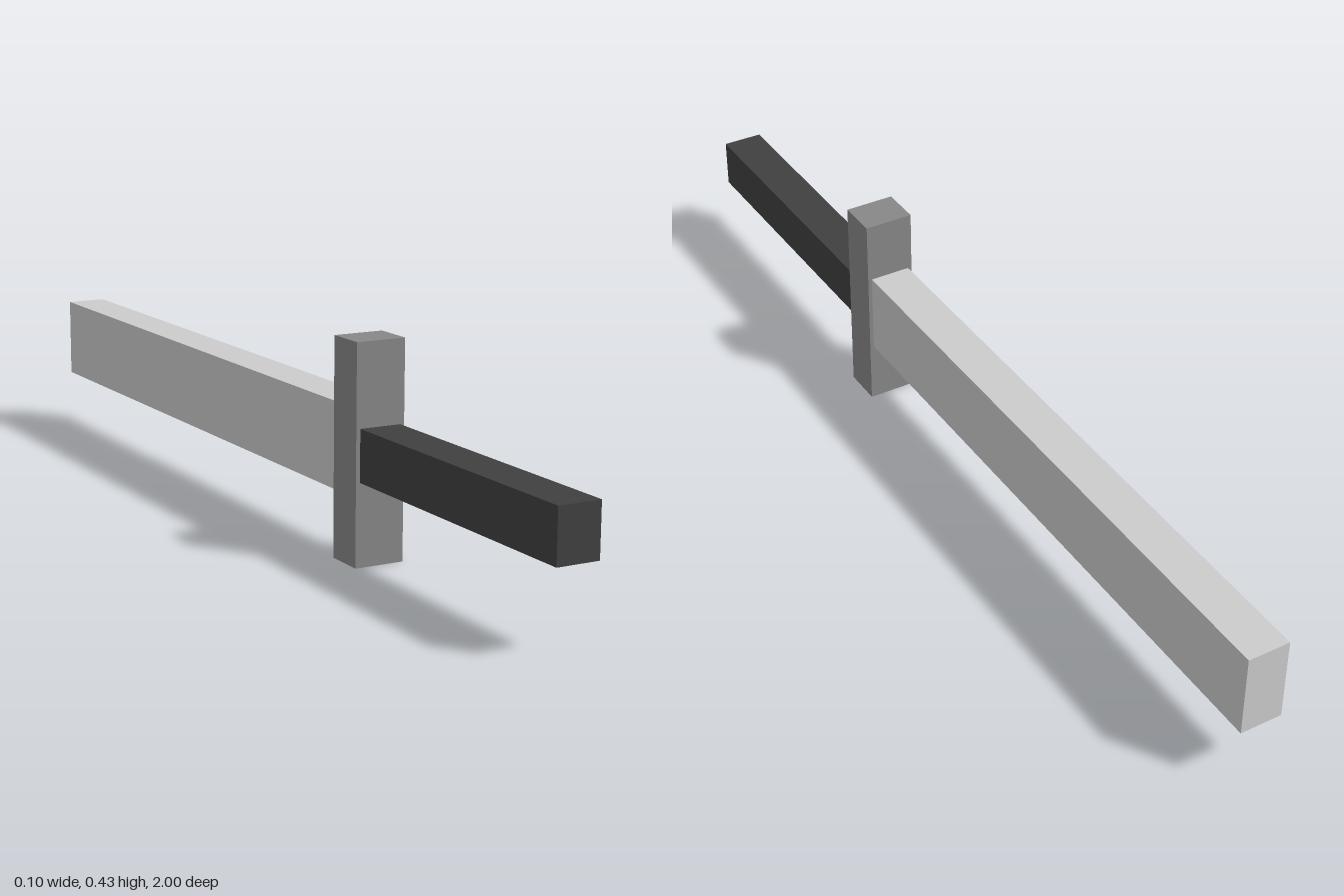
import * as THREE from 'three';

// Box spanning y0..y1 and z0..z1, centred on x
function addBlock(group, name, color, width, [y0, y1], [z0, z1]) {
  const mesh = new THREE.Mesh(
    new THREE.BoxGeometry(width, y1 - y0, z1 - z0),
    new THREE.MeshStandardMaterial({ color })
  );
  mesh.name = name;
  mesh.position.set(0, (y0 + y1) / 2, (z0 + z1) / 2);
  group.add(mesh);
}

export function createModel() {
  const sword = new THREE.Group();
  sword.name = 'sword';

  // Blade points backward, grip toward the front
  addBlock(sword, 'blade', 0xcccccc, 0.085, [0.13, 0.3], [-1, 0.295]);
  addBlock(sword, 'crossguard', 0x878787, 0.102, [0, 0.427], [0.295, 0.378]);
  addBlock(sword, 'grip', 0x404040, 0.085, [0.163, 0.265], [0.378, 1]);

  return sword;
}
